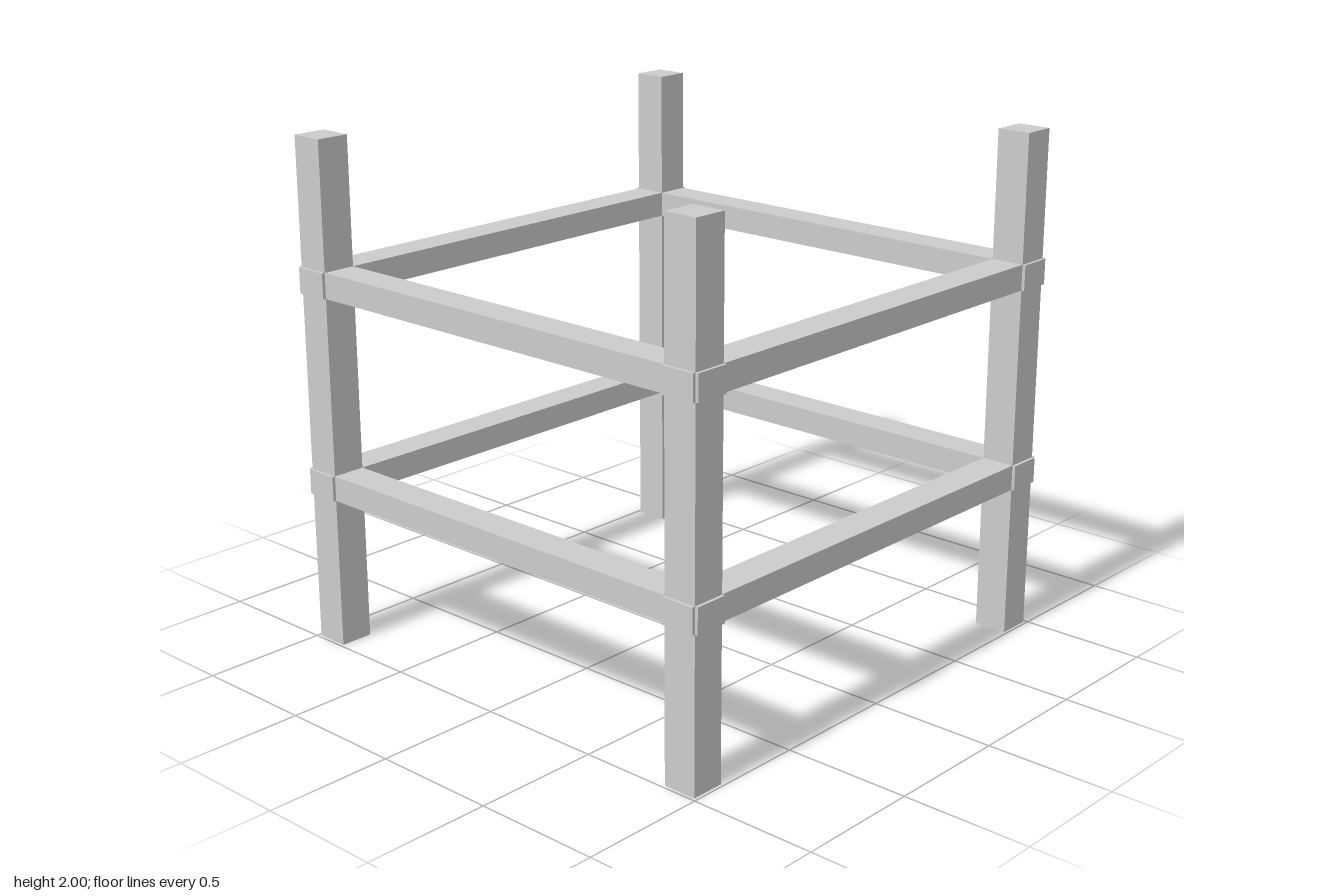
import * as THREE from 'three';

export function createModel() {
  const group = new THREE.Group();
  const material = new THREE.MeshStandardMaterial({ color: 0xcccccc, flatShading: true });
  const post = 0.135;   // thickness of posts and rails
  const offset = 0.92;  // distance of their centrelines from the middle

  const addBox = (name, w, h, d, x, y, z) => {
    const mesh = new THREE.Mesh(new THREE.BoxGeometry(w, h, d), material);
    mesh.name = name;
    mesh.position.set(x, y, z);
    group.add(mesh);
  };

  // Four corner posts
  for (const [sideX, x] of [['Left', offset], ['Right', -offset]]) {
    for (const [sideZ, z] of [['front', offset], ['back', -offset]]) {
      addBox(`${sideZ}${sideX}Post`, post, 2, post, x, 1, z);
    }
  }

  // Two rings of rails whose ends poke slightly past the posts
  for (const [level, y] of [['lower', 0.65], ['upper', 1.45]]) {
    addBox(`${level}FrontRail`, 2, 0.1, post, 0, y, offset);
    addBox(`${level}BackRail`, 2, 0.1, post, 0, y, -offset);
    addBox(`${level}LeftRail`, post, 0.1, 2, offset, y, 0);
    addBox(`${level}RightRail`, post, 0.1, 2, -offset, y, 0);
  }

  return group;
}
